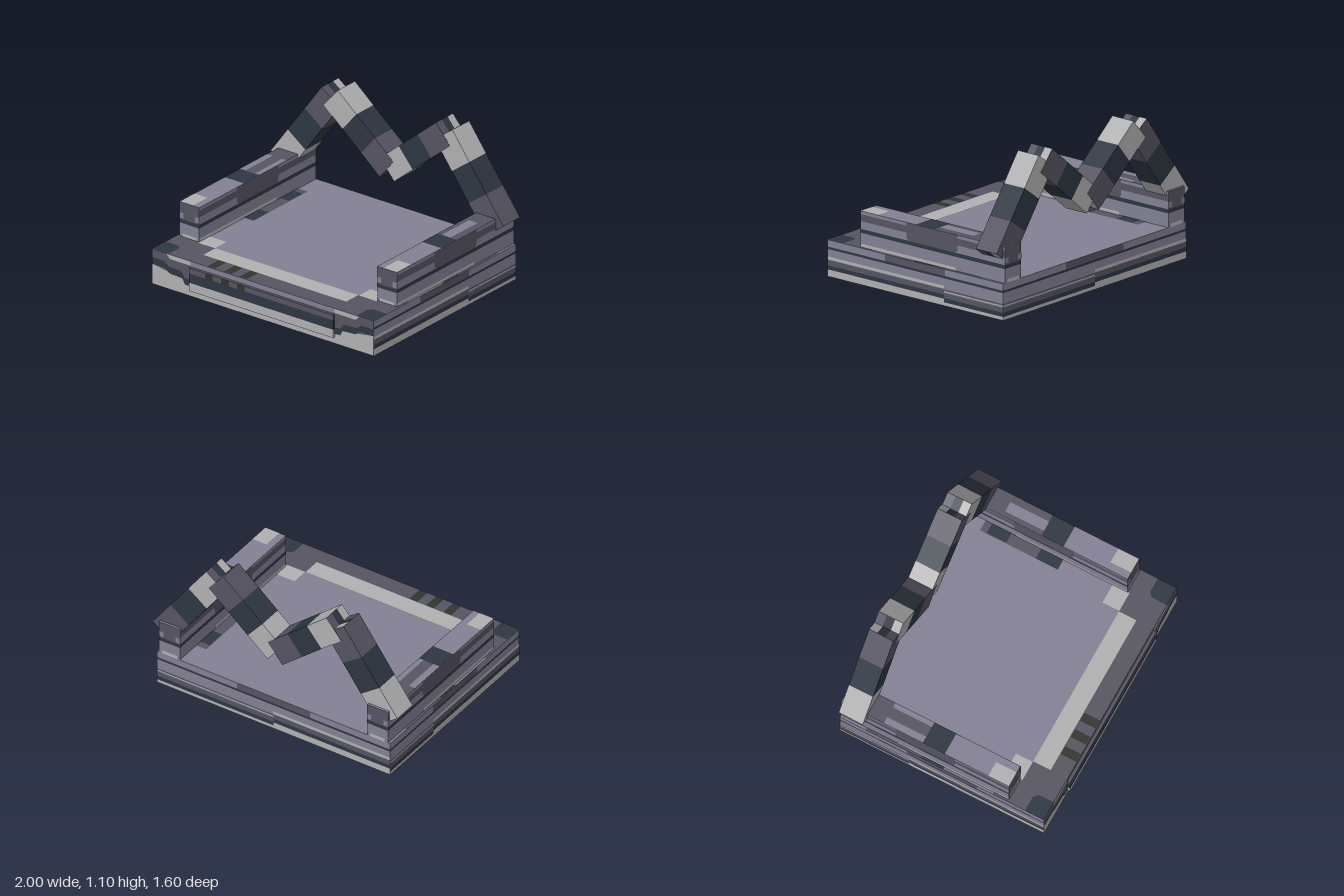
import * as THREE from 'three';

const mat = (name, color) => {
  const m = new THREE.MeshStandardMaterial({ color });
  m.name = name;
  return m;
};

export function createModel() {
  const light = mat('light grey', 0xb0b0b0);
  const navy = mat('dark slate', 0x2d3642);
  const purple = mat('dusk grey', 0x565461);
  const lavender = mat('lavender grey', 0x828093);
  const green = mat('dark green', 0x2f362e);

  const model = new THREE.Group();
  model.name = 'frame';
  const group = (name) => {
    const g = new THREE.Group();
    g.name = name;
    model.add(g);
    return g;
  };

  // Box given by its limits
  function box(parent, name, m, x0, x1, y0, y1, z0, z1) {
    const mesh = new THREE.Mesh(new THREE.BoxGeometry(x1 - x0, y1 - y0, z1 - z0), m);
    mesh.position.set((x0 + x1) / 2, (y0 + y1) / 2, (z0 + z1) / 2);
    mesh.name = name;
    parent.add(mesh);
  }

  // Flat painted polygon on one side; points are the two model axes of that side
  const sides = {
    front: [1, 1, 'rotateY', 0, [0, 0, 1]],
    back: [-1, 1, 'rotateY', Math.PI, [0, 0, -1]],
    left: [-1, 1, 'rotateY', Math.PI / 2, [1, 0, 0]],
    right: [1, 1, 'rotateY', -Math.PI / 2, [-1, 0, 0]],
    top: [1, -1, 'rotateX', -Math.PI / 2, [0, 1, 0]],
    bottom: [1, 1, 'rotateX', Math.PI / 2, [0, -1, 0]],
  };
  function paint(parent, side, depth, m, points, layer = 1) {
    const [su, sv, turn, angle, n] = sides[side];
    const shape = new THREE.Shape(points.map(([u, v]) => new THREE.Vector2(su * u, sv * v)));
    const geo = new THREE.ShapeGeometry(shape);
    geo[turn](angle);
    const d = depth + 0.0015 * layer;
    geo.translate(n[0] * d, n[1] * d, n[2] * d);
    const mesh = new THREE.Mesh(geo, m);
    mesh.name = side + 'Paint';
    parent.add(mesh);
  }
  const patch = (parent, side, depth, m, u0, u1, v0, v1, layer) =>
    paint(parent, side, depth, m, [[u0, v0], [u1, v0], [u1, v1], [u0, v1]], layer);

  // Base slab
  const W = 0.953, ZB = -0.8, ZF = 0.775, H = 0.26;
  const base = group('base');
  box(base, 'baseSlab', lavender, -W, W, 0, H, ZB, ZF);

  // Base side and back bands
  const near = [[light, 0, 0.05], [navy, 0.05, 0.08], [purple, 0.08, 0.12], [light, 0.12, 0.142]];
  const far = [[light, 0, 0.025], [navy, 0.025, 0.055], [purple, 0.055, 0.092], [light, 0.098, 0.105], [purple, 0.105, 0.118]];
  for (const side of ['left', 'right']) {
    for (const [m, a, b] of near) patch(base, side, W, m, -0.27, ZF, a, b);
    for (const [m, a, b] of far) patch(base, side, W, m, ZB, -0.27, a, b);
    patch(base, side, W, navy, ZB, ZF, 0.195, 0.212);
    patch(base, side, W, purple, -0.28, 0.26, 0.212, H);
  }
  for (const [m, a, b] of near) patch(base, 'back', -ZB, m, -W, 0, a, b);
  for (const [m, a, b] of far) patch(base, 'back', -ZB, m, 0, W, a, b);
  patch(base, 'back', -ZB, navy, -W, W, 0.195, 0.212);
  patch(base, 'back', -ZB, purple, -0.3, 0.3, 0.212, H);

  // Base front: light foot, stepped dark line, dusk corners
  patch(base, 'front', ZF, light, -W, W, 0, 0.2);
  for (const s of [-1, 1]) {
    const stepped = (m, pts, layer) => paint(base, 'front', ZF, m, pts.map(([x, y]) => [s * x, y]), layer);
    stepped(purple, [[W, 0.15], [W, H], [0.83, H], [0.8, 0.228], [0.62, 0.228], [0.62, 0.1]], 2);
    stepped(navy, [[W, 0.15], [W, 0.2], [0.85, 0.2], [0.81, 0.17], [0.7, 0.165], [0.67, 0.125], [0.62, 0.12],
      [0.62, 0.075], [0.67, 0.075], [0.69, 0.115], [0.8, 0.12], [0.84, 0.15]], 3);
    stepped(light, [[0.83, H], [0.8, 0.228], [0.62, 0.228], [0.62, H]], 2);
  }

  // Base top: border, corners and patches beside the rails
  patch(base, 'top', H, purple, -W, W, 0.51, ZF);
  patch(base, 'top', H, light, -0.615, 0.615, 0.51, 0.645, 2);
  for (const s of [-1, 1]) {
    const p = (m, x0, x1, z0, z1, layer) => patch(base, 'top', H, m, s * x0, s * x1, z0, z1, layer);
    paint(base, 'top', H, navy, [[W, 0.63], [W, ZF], [0.81, ZF], [0.81, 0.66], [0.84, 0.63]].map(([x, z]) => [s * x, z]), 2);
    p(purple, 0.765, W, 0.38, 0.51);
    p(light, 0.62, 0.77, 0.38, 0.51);
    p(purple, 0.685, 0.77, -0.6, -0.02);
    p(navy, 0.69, 0.77, -0.55, -0.4, 2);
    p(navy, 0.685, 0.77, -0.17, 0, 2);
    p(purple, 0.93, W, -0.6, -0.17);
    p(navy, 0.93, W, -0.17, 0);
  }

  // Underside: stripes shifted between the two halves
  const under = [
    [0.02, W, [[light, 0, 0.13], [purple, 0.13, 0.28], [navy, 0.28, 0.38], [light, 0.38, 0.48], [navy, 0.72, 0.82], [purple, 0.82, 1]]],
    [-W, 0.02, [[light, 0, 0.15], [navy, 0.15, 0.27], [purple, 0.27, 0.42], [light, 0.42, 0.51], [navy, 0.69, 0.8]]],
  ];
  for (const [x0, x1, stripes] of under)
    for (const [m, a, b] of stripes)
      patch(base, 'bottom', 0, m, x0, x1, ZB + a * (ZF - ZB), ZB + b * (ZF - ZB));

  // Front plate with three green marks
  const plate = group('frontPlate');
  box(plate, 'plateFoot', light, -0.62, 0.62, 0.048, 0.11, ZF - 0.01, 0.798);
  box(plate, 'plateMiddle', navy, -0.62, 0.62, 0.11, 0.18, ZF - 0.01, 0.798);
  box(plate, 'plateTop', purple, -0.62, 0.62, 0.18, 0.22, ZF - 0.01, 0.798);
  for (const x of [-0.48, -0.34, -0.205]) {
    patch(plate, 'front', 0.798, green, x, x + 0.065, 0.172, 0.22);
    patch(plate, 'top', H, green, x, x + 0.065, 0.65, 0.77, 2);
  }

  // Side rails
  const RT = 0.517, RF = 0.495, RI = 0.767, RO = 0.935;
  for (const s of [-1, 1]) {
    const rail = group(s > 0 ? 'leftRail' : 'rightRail');
    box(rail, 'railBody', lavender, Math.min(s * RI, s * RO), Math.max(s * RI, s * RO), H, RT, ZB, RF);
    // Long faces, outside and inside
    for (const [side, d] of s > 0 ? [['left', RO], ['right', -RI]] : [['right', RO], ['left', -RI]]) {
      patch(rail, side, d, light, -0.36, RF, H, 0.285);
      patch(rail, side, d, navy, ZB, RF, 0.362, 0.39);
      patch(rail, side, d, purple, ZB, RF, 0.445, 0.495);
      paint(rail, side, d, purple, [[-0.36, 0.39], [0.06, 0.39], [0.08, 0.41], [0.08, RT], [-0.38, RT], [-0.38, 0.41]], 2);
    }
    // Ends
    for (const [side, d] of [['front', RF], ['back', -ZB]]) {
      const p = (m, x0, x1, y0, y1, layer) => patch(rail, side, d, m, s * x0, s * x1, y0, y1, layer);
      p(light, 0.79, 0.91, H, 0.285);
      p(navy, RI, RO, 0.362, 0.39);
      p(purple, RI, RO, 0.39, RT);
      p(lavender, RI, 0.8, 0.4, 0.44, 2);
      p(lavender, 0.9, RO, 0.4, 0.44, 2);
    }
    // Top
    const t = (m, x0, x1, z0, z1, layer) => patch(rail, 'top', RT, m, s * x0, s * x1, z0, z1, layer);
    t(purple, RI, RO, -0.6, -0.17);
    t(lavender, s > 0 ? 0.805 : 0.885, s > 0 ? 0.88 : RO, -0.47, -0.17, 2);
    if (s < 0) t(lavender, RI, 0.805, -0.47, -0.17, 2);
    t(navy, RI, RO, -0.17, 0);
    t(light, 0.82, RO, 0.335, RF);
  }

  // Zigzag arch: four three-colour bars, ends striped across the depth
  const colours = [light, navy, purple];
  const bars = [
    ['rightOuterBar', -0.706, 0.725, 0.742, 53.8, 0.186],
    ['rightInnerBar', -0.242, 0.823, 0.626, -39.8, 0.19],
    ['leftInnerBar', 0.242, 0.823, 0.626, 39.8, 0.188],
    ['leftOuterBar', 0.706, 0.725, 0.742, -53.8, 0.186],
  ];
  for (const [name, x, y, len, deg, depth] of bars) {
    const bar = group(name);
    bar.position.set(x, y, -0.69);
    bar.rotation.z = THREE.MathUtils.degToRad(deg);
    colours.forEach((m, i) => {
      const x0 = -len / 2 + (i * len) / 3;
      box(bar, 'barSection', m, x0, x0 + len / 3, -0.094, 0.094, -depth / 2, depth / 2);
      const z0 = -depth / 2 + (i * depth) / 3;
      patch(bar, 'left', len / 2, m, z0, z0 + depth / 3, -0.094, 0.094);
      patch(bar, 'right', len / 2, colours[2 - i], z0, z0 + depth / 3, -0.094, 0.094);
    });
  }
  return model;
}
